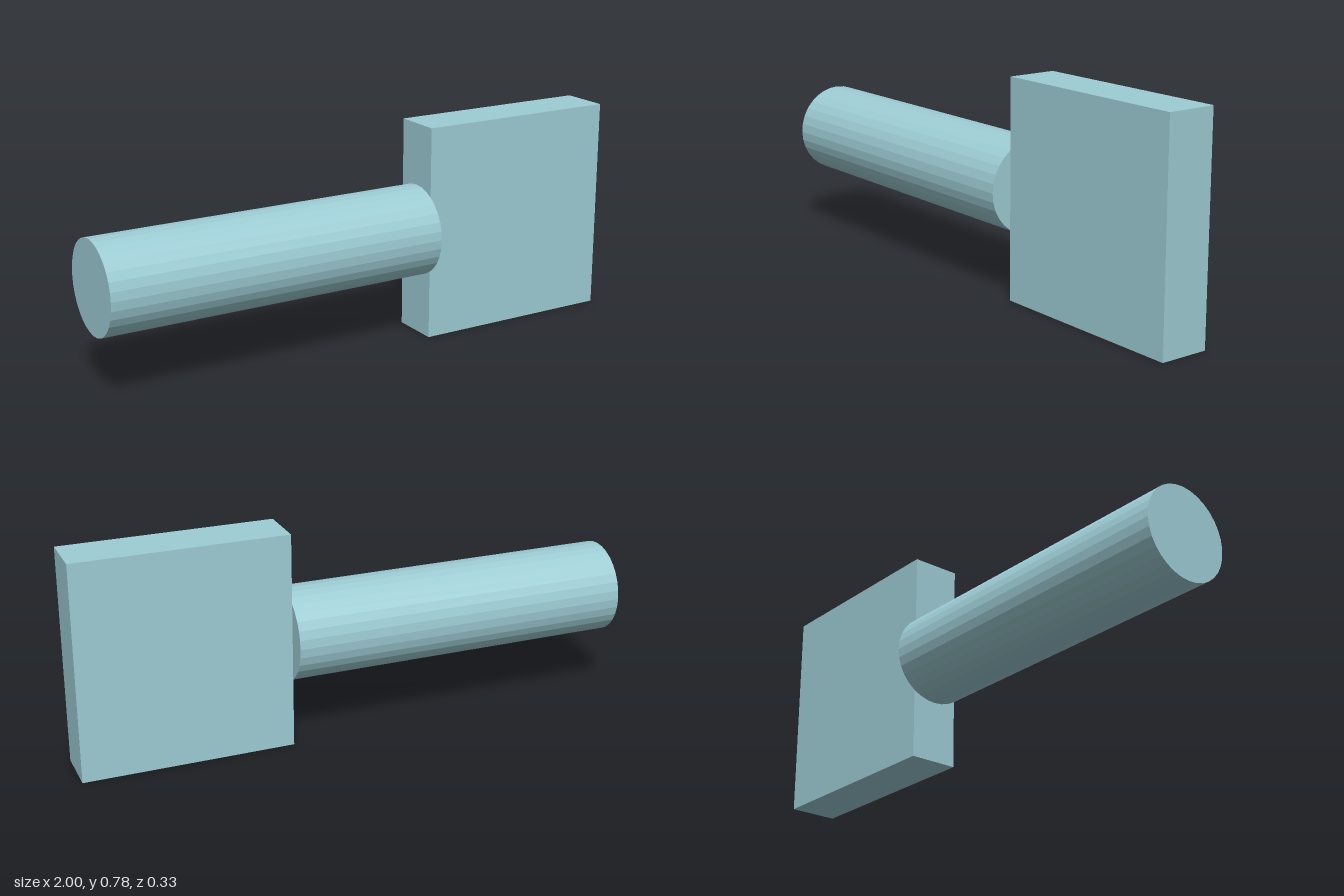
import * as THREE from 'three';

export function createModel() {
  const group = new THREE.Group();
  const paleTeal = new THREE.MeshStandardMaterial({ color: 0x9dccd4, flatShading: true });
  paleTeal.name = 'paleTeal';

  const joint = 0.245; // x where the shaft meets the head
  const midY = 0.389;

  // Round shaft lying along x
  const shaftLength = joint + 1;
  const shaftGeometry = new THREE.CylinderGeometry(0.165, 0.165, shaftLength, 32);
  shaftGeometry.rotateZ(Math.PI / 2);
  const shaft = new THREE.Mesh(shaftGeometry, paleTeal);
  shaft.name = 'shaft';
  shaft.position.set(-1 + shaftLength / 2, midY, 0);
  group.add(shaft);

  // Flat rectangular head
  const headLength = 1 - joint;
  const head = new THREE.Mesh(new THREE.BoxGeometry(headLength, midY * 2, 0.18), paleTeal);
  head.name = 'head';
  head.position.set(joint + headLength / 2, midY, 0);
  group.add(head);

  return group;
}
